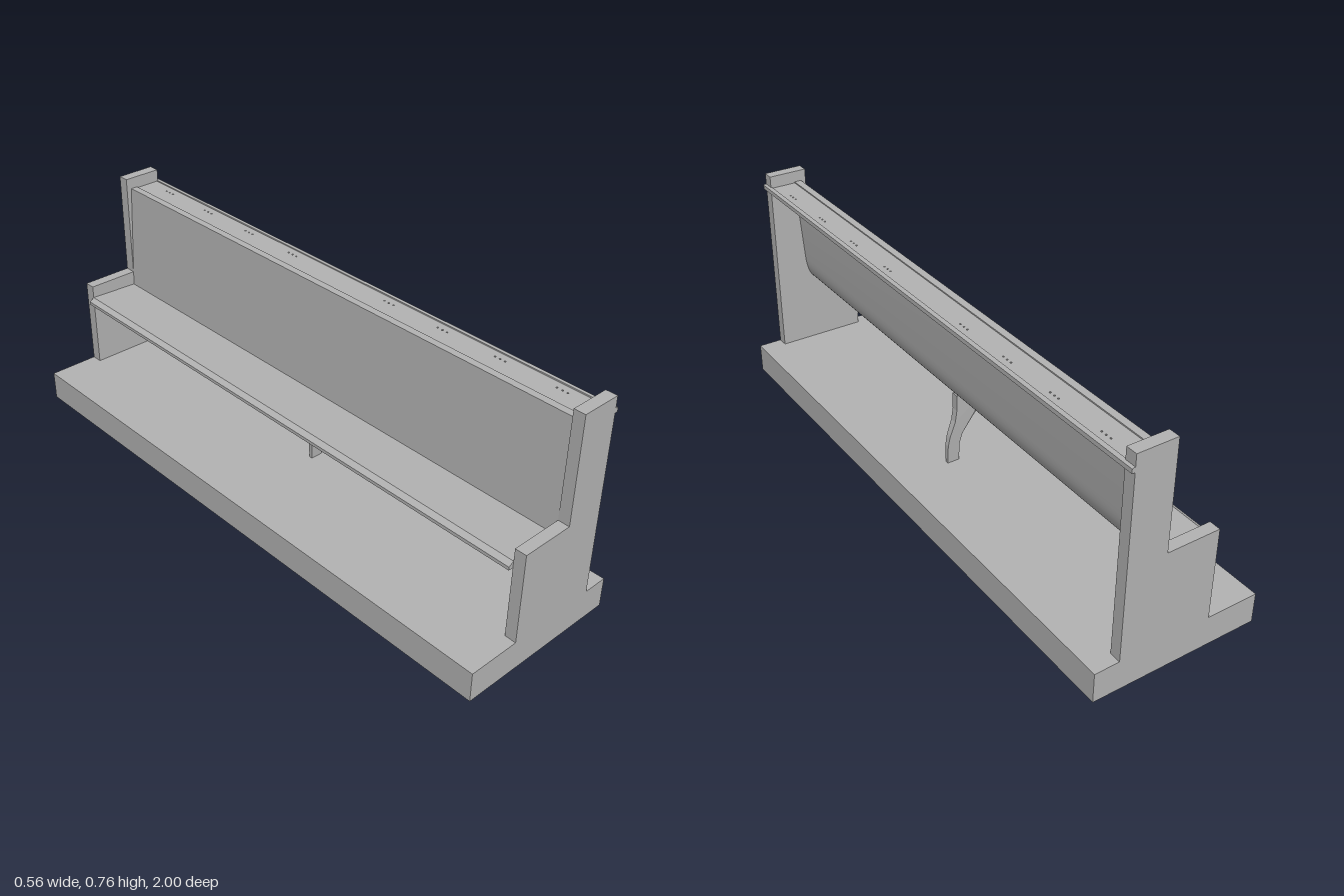
import * as THREE from 'three';
import { toCreasedNormals } from 'three/addons/utils/BufferGeometryUtils.js';

const grey = new THREE.MeshStandardMaterial({ color: 0xb2b2b2 });
grey.name = 'grey';

const toShape = (pts) => new THREE.Shape(pts.map(([x, y]) => new THREE.Vector2(x, y)));

// Extrude an x-y profile along z, centred on z = 0
function extrudeZ(shape, length, curveSegments = 12) {
  const g = new THREE.ExtrudeGeometry(shape, { depth: length, bevelEnabled: false, curveSegments });
  return g.translate(0, 0, -length / 2);
}

export function createModel() {
  const group = new THREE.Group();
  group.name = 'bench';
  const add = (name, geometry) => {
    const mesh = new THREE.Mesh(geometry, grey);
    mesh.name = name;
    group.add(mesh);
    return mesh;
  };

  // Floor plinth
  add('plinth', new THREE.BoxGeometry(0.564, 0.1, 2).translate(0, 0.05, 0));

  // Stepped end panels
  const endShape = toShape([
    [-0.108, 0.1], [0.2, 0.1], [0.2, 0.76], [0.068, 0.76], [0.068, 0.404], [-0.108, 0.404],
  ]);
  for (const side of [1, -1]) {
    add(side > 0 ? 'leftEndPanel' : 'rightEndPanel', extrudeZ(endShape, 0.038)).position.z = side * 0.981;
  }

  // Seat and reclined back in one profile, with a rounded rear bend
  const seat = new THREE.Shape();
  seat.moveTo(-0.125, 0.34);
  seat.lineTo(-0.108, 0.338);
  seat.lineTo(0.02, 0.33);
  seat.bezierCurveTo(0.062, 0.33, 0.084, 0.355, 0.09, 0.43);
  seat.lineTo(0.11, 0.706);
  seat.lineTo(0.11, 0.722);
  seat.lineTo(0.086, 0.722);
  seat.lineTo(0.066, 0.355);
  seat.lineTo(-0.108, 0.362);
  seat.lineTo(-0.125, 0.351);
  seat.closePath();
  add('seatAndBack', toCreasedNormals(extrudeZ(seat, 1.924), 0.5));

  // Shelf behind the back, with groups of three small holes
  const shelf = toShape([[0.1, -0.962], [0.198, -0.962], [0.198, 0.962], [0.1, 0.962]]);
  for (const side of [1, -1]) {
    for (let i = 1; i <= 4; i++) {
      for (const offset of [-0.018, 0, 0.018]) {
        const hole = new THREE.Path();
        hole.absarc(0.17, side * i * 0.213 + offset, 0.003, 0, Math.PI * 2, true);
        shelf.holes.push(hole);
      }
    }
  }
  const shelfGeo = new THREE.ExtrudeGeometry(shelf, { depth: 0.012, bevelEnabled: false, curveSegments: 4 });
  add('shelf', shelfGeo.rotateX(-Math.PI / 2).translate(0, 0.706, 0));

  // Shelf edge rail, running over the end panels
  const rail = toShape([[0.196, 0.706], [0.21, 0.706], [0.21, 0.72], [0.206, 0.722], [0.196, 0.722]]);
  add('shelfRail', extrudeZ(rail, 2));

  // Central bent leg, narrowing towards the floor
  const leg = toShape([
    [0.058, 0.1], [0.1, 0.1], [0.099, 0.165], [0.092, 0.2], [0.074, 0.25], [0.068, 0.29], [0.068, 0.345],
    [-0.05, 0.338], [-0.025, 0.29], [0.01, 0.25], [0.046, 0.2], [0.056, 0.165],
  ]);
  const legGeo = extrudeZ(leg, 1);
  const p = legGeo.attributes.position;
  for (let i = 0; i < p.count; i++) {
    const t = THREE.MathUtils.clamp((p.getY(i) - 0.1) / 0.15, 0, 1);
    p.setZ(i, p.getZ(i) * (0.012 + 0.012 * t));
  }
  legGeo.computeVertexNormals();
  add('centreLeg', legGeo);

  return group;
}
